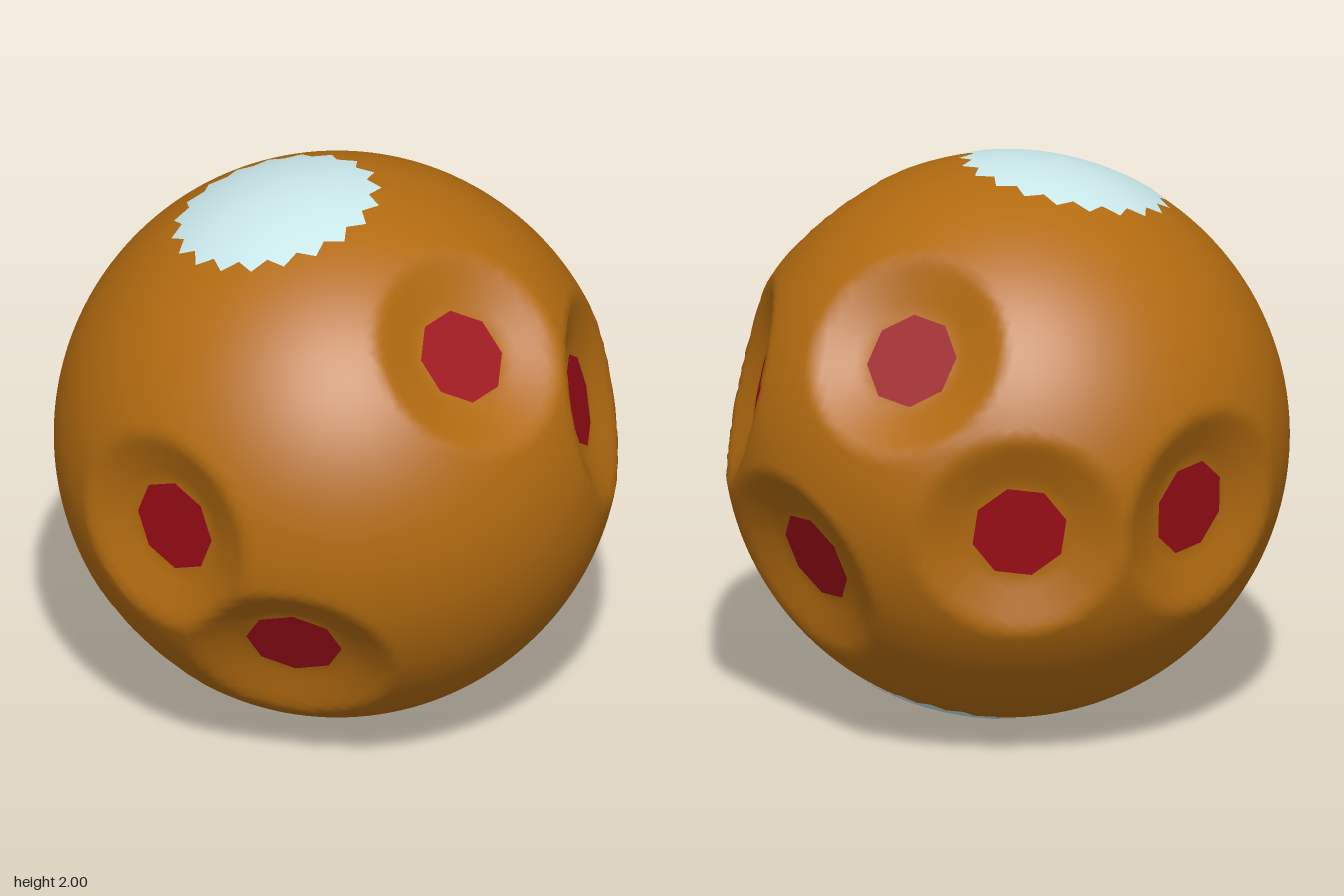
import * as THREE from 'three';
import { mergeVertices } from 'three/addons/utils/BufferGeometryUtils.js';

const RADIUS = 0.994, FLOOR = 0.867, FLOOR_RADIUS = 0.17, SLOPE = 0.31;

// Crater centres, measured from the middle of the planet
const CRATERS = [
  [-0.61, -0.01, 0.62], [-0.2, -0.43, 0.73], [0.4, 0.57, 0.52],
  [0.83, 0.19, 0.16], [0.48, 0.48, -0.57], [0.755, -0.3, -0.31],
  [0.155, -0.09, -0.86], [-0.49, -0.085, -0.72], [-0.66, -0.75, 0.05],
].map((c) => new THREE.Vector3(...c).normalize());

const AXIS = new THREE.Vector3(-0.225, 0.94, 0.025).normalize();

// Surface radius in a direction: flat crater floor, sloped wall, then sphere
function surfaceRadius(dir) {
  let r = RADIUS;
  for (const c of CRATERS) {
    const cos = dir.dot(c);
    if (cos < 0.8) continue;
    const sin = Math.sqrt(Math.max(0, 1 - cos * cos));
    const wall = (FLOOR - (FLOOR_RADIUS + 0.012) * SLOPE) / (cos - SLOPE * sin);
    r = Math.min(r, Math.max(FLOOR / cos, wall));
  }
  return r;
}

function planetGeometry() {
  const ico = new THREE.IcosahedronGeometry(1, 32);
  ico.deleteAttribute('normal');
  ico.deleteAttribute('uv');
  const geo = mergeVertices(ico, 1e-4);
  const pos = geo.attributes.position, v = new THREE.Vector3();
  for (let i = 0; i < pos.count; i++) {
    v.fromBufferAttribute(pos, i).normalize();
    v.multiplyScalar(surfaceRadius(v));
    pos.setXYZ(i, v.x, v.y, v.z);
  }
  geo.computeVertexNormals();
  return geo;
}

// Polar cap with a zigzag rim of 20 teeth
function capGeometry() {
  const columns = 40, rows = 6, outer = 0.39, inner = 0.345;
  const geo = new THREE.SphereGeometry(1, columns, rows, 0, Math.PI * 2, 0, outer);
  const pos = geo.attributes.position, normal = geo.attributes.normal;
  for (let i = 0; i < pos.count; i++) {
    const column = i % (columns + 1), row = Math.floor(i / (columns + 1));
    const theta = (row / rows) * (column % 2 ? inner : outer);
    const phi = (column / columns) * Math.PI * 2;
    const x = -Math.cos(phi) * Math.sin(theta), z = Math.sin(phi) * Math.sin(theta);
    pos.setXYZ(i, x, Math.cos(theta), z);
    normal.setXYZ(i, x, Math.cos(theta), z);
  }
  return geo;
}

export function createModel() {
  const model = new THREE.Group();
  model.name = 'planet';
  const add = (name, geo, mat) => {
    const mesh = new THREE.Mesh(geo, mat);
    mesh.name = name;
    mesh.position.y = 1;
    model.add(mesh);
    return mesh;
  };
  const ground = new THREE.MeshStandardMaterial({ color: 0xb36b10 });
  const red = new THREE.MeshStandardMaterial({ color: 0x9c0d17 });
  const ice = new THREE.MeshStandardMaterial({ color: 0xcbe9ec });

  // Dented globe
  add('globe', planetGeometry(), ground);

  // Ice caps at both ends of the tilted axis
  const capGeo = capGeometry();
  const up = new THREE.Vector3(0, 1, 0);
  add('northCap', capGeo, ice).quaternion.setFromUnitVectors(up, AXIS);
  add('southCap', capGeo, ice).quaternion.setFromUnitVectors(up, AXIS.clone().negate());

  // Octagonal crater floors
  const floorGeo = new THREE.CircleGeometry(FLOOR_RADIUS, 8);
  const forward = new THREE.Vector3(0, 0, 1);
  for (const c of CRATERS) {
    const floor = add('craterFloor', floorGeo, red);
    floor.quaternion.setFromUnitVectors(forward, c);
    floor.position.addScaledVector(c, FLOOR + 0.006);
  }
  return model;
}
